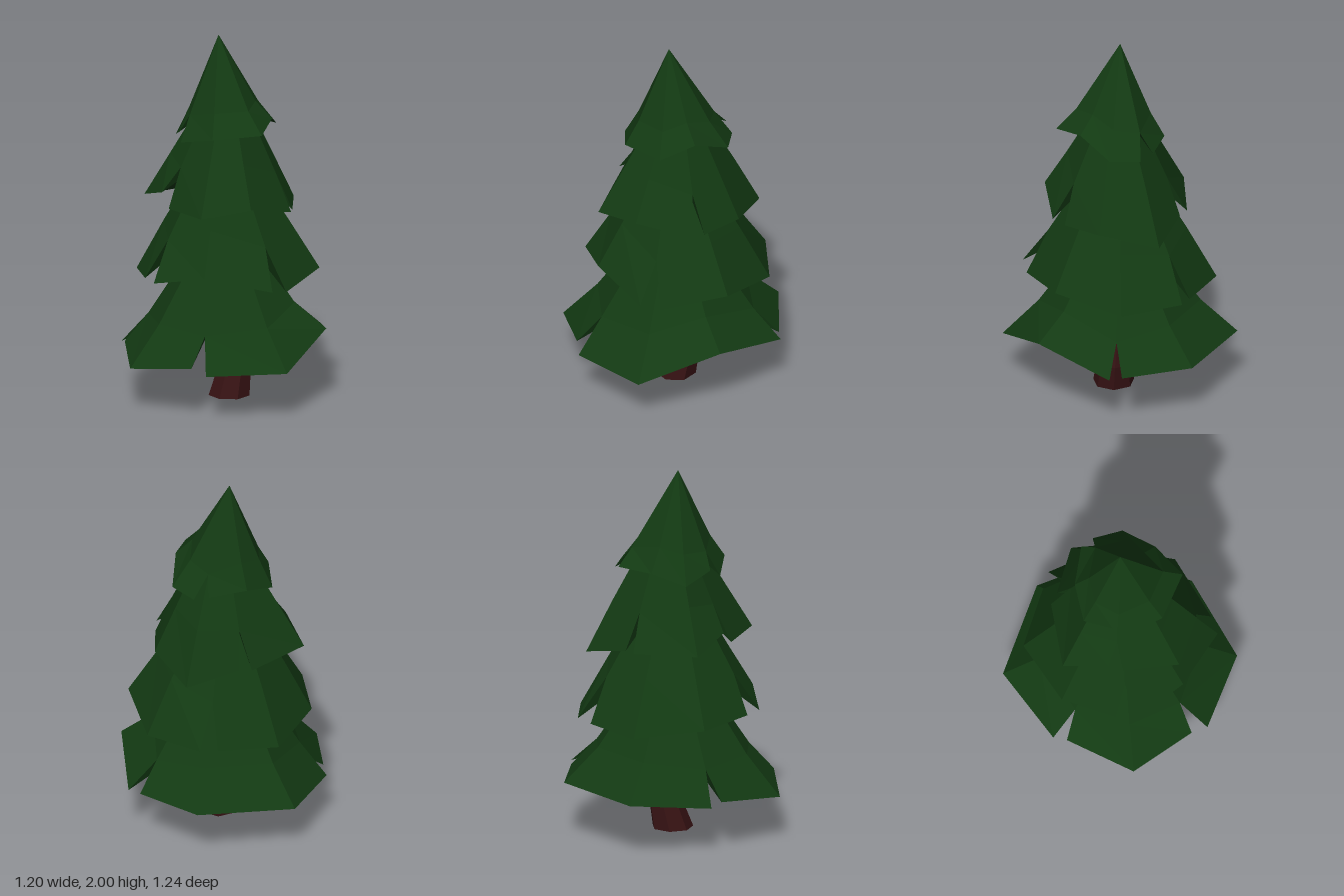
import * as THREE from 'three';

const green = new THREE.MeshStandardMaterial({ color: 0x133a13, flatShading: true, roughness: 1 });
const brown = new THREE.MeshStandardMaterial({ color: 0x361213, flatShading: true, roughness: 1 });

const SPREAD = 0.69; // shoulder distance from the axis, relative to the hem
const SPLIT = 0.75; // the same where two flaps part

function meshFrom(points, name, material) {
  const geometry = new THREE.BufferGeometry().setFromPoints(points);
  geometry.computeVertexNormals();
  const mesh = new THREE.Mesh(geometry, material);
  mesh.name = name;
  return mesh;
}

// One tier: ragged hem split into flaps, a shoulder ring, a peak and a hollow underside.
// Hem points run clockwise seen from above.
function branchTier({ name, peak, rise, flaps }) {
  const hems = flaps.map(flap => flap.map(p => new THREE.Vector3(...p)));
  const all = hems.flat();
  const meanY = all.reduce((sum, p) => sum + p.y, 0) / all.length;
  const top = new THREE.Vector3(...peak);
  const inner = new THREE.Vector3(0, meanY + rise * 1.2, 0);
  const shoulder = (p, s) => new THREE.Vector3(
    THREE.MathUtils.lerp(top.x, p.x, s),
    (p.y + meanY) / 2 + rise * (1 - s) / (1 - SPREAD),
    p.z * s);

  // Neighbouring flaps share one shoulder point at each split
  const shoulders = hems.map(hem => hem.map(p => shoulder(p, SPREAD)));
  hems.forEach((hem, i) => {
    const next = (i + 1) % hems.length;
    const shared = shoulder(hem.at(-1).clone().lerp(hems[next][0], 0.5), SPLIT);
    shoulders[i][hem.length - 1] = shared;
    shoulders[next][0] = shared;
  });

  const tris = [];
  hems.forEach((hem, i) => {
    const ring = shoulders[i];
    for (let j = 0; j < hem.length - 1; j++) {
      const a = hem[j], b = hem[j + 1], ma = ring[j], mb = ring[j + 1];
      tris.push(a, ma, mb, a, mb, b, ma, top, mb, a, b, inner);
    }
    // Side walls of the split
    tris.push(hem[0], inner, ring[0], hem.at(-1), ring.at(-1), inner);
  });
  return meshFrom(tris, name, green);
}

// Crooked trunk lofted through [x, y, z, radius] sections
function trunk() {
  const sides = 7;
  const sections = [
    [0.022, 0, 0.024, 0.112], [0.057, 0.14, 0.01, 0.092],
    [0.033, 0.3, 0, 0.084], [0.01, 0.7, 0, 0.07]];
  const corner = ([x, y, z, r], i) => {
    const t = (i % sides) / sides * Math.PI * 2;
    return new THREE.Vector3(x + r * Math.sin(t), y, z + r * Math.cos(t));
  };
  const tris = [];
  const base = new THREE.Vector3(...sections[0].slice(0, 3));
  for (let i = 0; i < sides; i++) {
    for (let s = 0; s < sections.length - 1; s++) {
      const a = corner(sections[s], i), b = corner(sections[s], i + 1);
      const c = corner(sections[s + 1], i + 1), d = corner(sections[s + 1], i);
      tris.push(a, b, c, a, c, d);
    }
    tris.push(base, corner(sections[0], i + 1), corner(sections[0], i));
  }
  return meshFrom(tris, 'trunk', brown);
}

const tiers = [
  { name: 'bottomBranches', peak: [0, 1.08], rise: 0.19, flaps: [
    [[-0.455, 0.26, -0.32], [-0.13, 0.295, -0.62], [0.38, 0.31, -0.485], [0.56, 0.3, -0.14]],
    [[0.6, 0.3, -0.08], [0.45, 0.4, 0.34], [0.1, 0.26, 0.615], [-0.32, 0.26, 0.495]],
    [[-0.37, 0.29, 0.415], [-0.6, 0.24, 0.125], [-0.47, 0.28, -0.245]]] },
  { name: 'lowerBranches', peak: [0, 1.52], rise: 0.27, flaps: [
    [[-0.465, 0.7, 0.015], [-0.385, 0.67, -0.28], [-0.085, 0.635, -0.515], [0.24, 0.65, -0.44]],
    [[0.335, 0.66, -0.42], [0.51, 0.645, -0.125], [0.45, 0.715, 0.25], [0.16, 0.67, 0.47]],
    [[0.06, 0.69, 0.515], [-0.27, 0.76, 0.36], [-0.465, 0.7, 0.13]]] },
  { name: 'upperBranches', peak: [0.02, 1.85], rise: 0.24, flaps: [
    [[-0.345, 1.15, -0.035], [-0.34, 1.075, -0.28], [0.01, 1.06, -0.375]],
    [[0.075, 1.06, -0.35], [0.36, 1, -0.3], [0.4, 1.06, 0.02], [0.3, 1.05, 0.23]],
    [[0.26, 1.06, 0.305], [-0.02, 1.13, 0.41], [-0.28, 1.09, 0.34], [-0.34, 1.08, 0.045]]] },
  { name: 'topBranches', peak: [-0.03, 2], rise: 0.13, flaps: [
    [[-0.25, 1.48, -0.02], [-0.2, 1.42, -0.18], [-0.02, 1.48, -0.245], [0.2, 1.48, -0.23]],
    [[0.26, 1.455, -0.175], [0.315, 1.465, -0.02], [0.21, 1.55, 0.165], [0.08, 1.51, 0.325],
      [-0.17, 1.49, 0.24], [-0.27, 1.44, 0.045]]] },
];

export function createModel() {
  const tree = new THREE.Group();
  tree.name = 'pineTree';
  tree.add(trunk(), ...tiers.map(branchTier));
  return tree;
}
